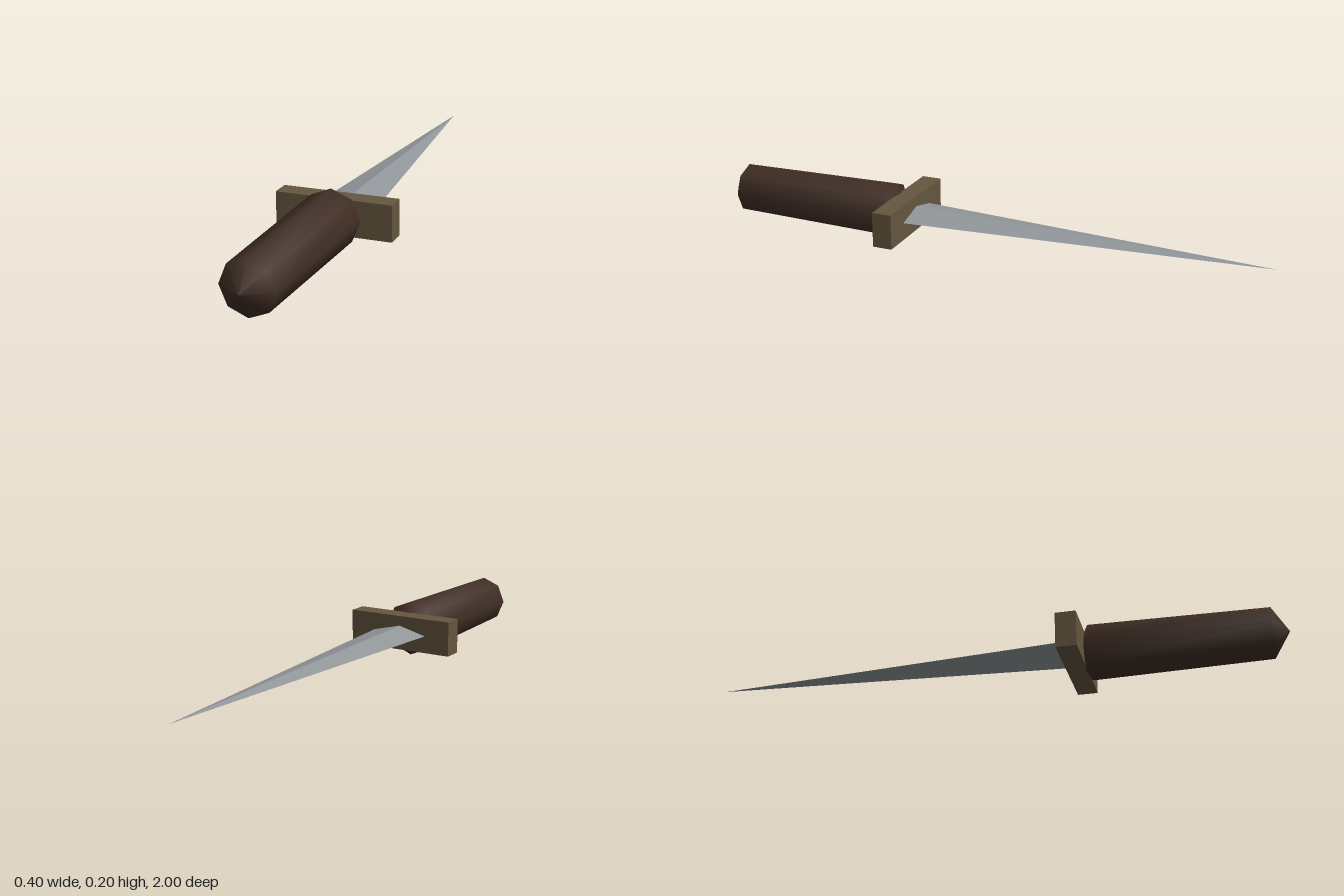
import * as THREE from 'three';

const AXIS_Y = 0.1; // height of the dagger's long axis

function addPart(group, name, geometry, material, z = 0) {
  const mesh = new THREE.Mesh(geometry, material);
  mesh.name = name;
  mesh.position.set(0, AXIS_Y, z);
  group.add(mesh);
}

export function createModel() {
  const steel = new THREE.MeshStandardMaterial({ name: 'steel', color: 0x92979b, flatShading: true });
  const brass = new THREE.MeshStandardMaterial({ name: 'dullBrass', color: 0x65563f });
  const wood = new THREE.MeshStandardMaterial({ name: 'darkWood', color: 0x402e25 });
  const dagger = new THREE.Group();
  dagger.name = 'dagger';

  // Blade: four-sided spike, flattened to a diamond section, pointing back
  const blade = new THREE.ConeGeometry(0.107, 1.28, 4);
  blade.rotateX(-Math.PI / 2);
  blade.scale(1, 0.25, 1);
  addPart(dagger, 'blade', blade, steel, -0.36);

  // Crossguard
  addPart(dagger, 'guard', new THREE.BoxGeometry(0.4, 0.124, 0.07), brass, 0.295);

  // Handle: eight-sided, slightly tapered grip with pointed ends
  const profile = [[0, 0.29], [0.1, 0.345], [0.09, 0.945], [0, 1]]
    .map(([r, z]) => new THREE.Vector2(r, z));
  const handle = new THREE.LatheGeometry(profile, 8);
  handle.rotateX(Math.PI / 2);
  addPart(dagger, 'handle', handle, wood);

  return dagger;
}
